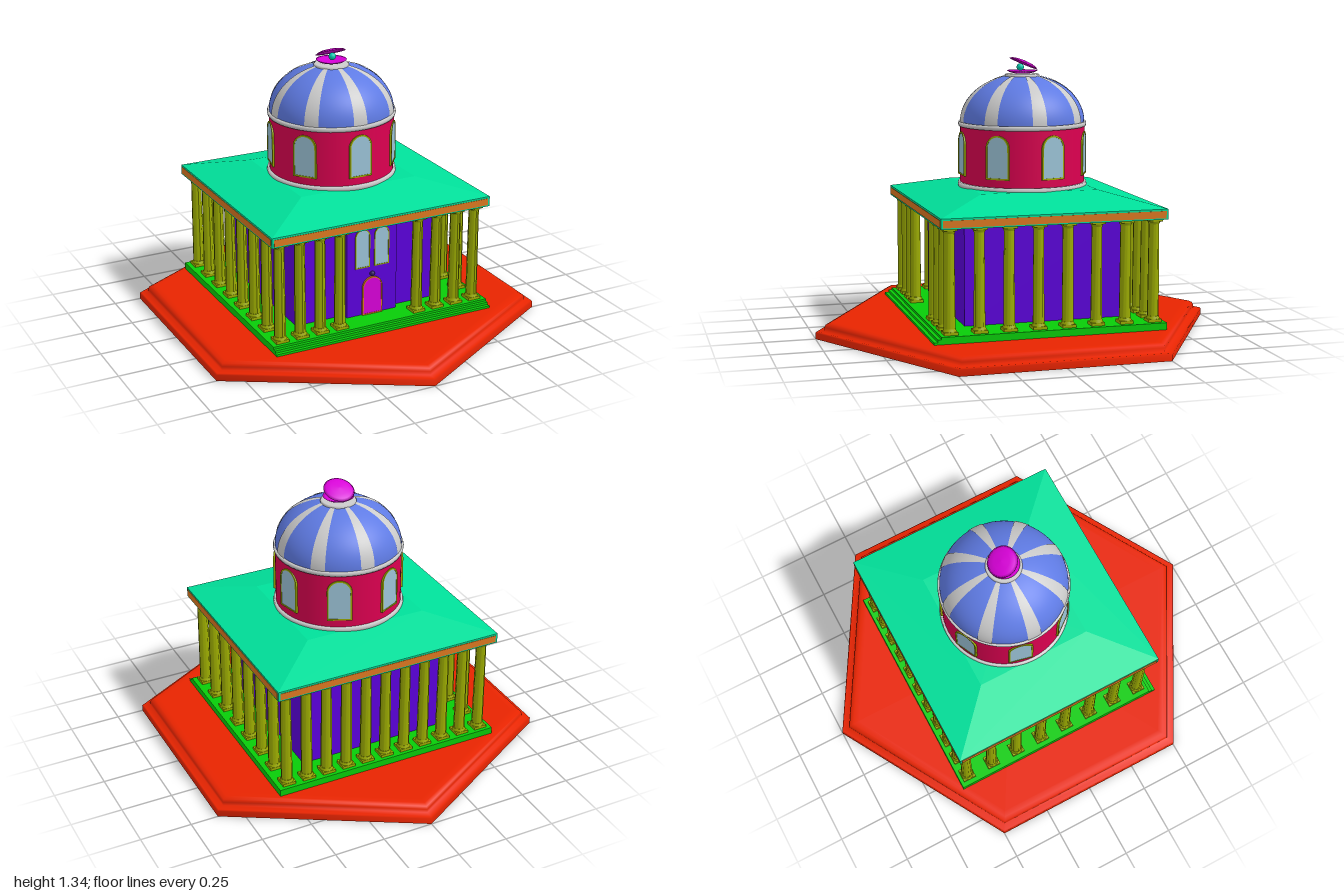
import * as THREE from 'three';

const CZ = -0.0375; // z of the building's centre
const HX = 0.58, HZ = 0.5475; // half sizes of floor and roof

const mat = (color, opts = {}) => new THREE.MeshStandardMaterial({ color, ...opts });
const thin = { side: THREE.DoubleSide };
const M = {
  red: mat(0xe82400, thin), green: mat(0x08cc08), teal: mat(0x00e09a, { flatShading: true }), orange: mat(0xdc7820),
  olive: mat(0x9cac00), purple: mat(0x5c00dc), crimson: mat(0xdc0050), blue: mat(0x5f7be4),
  grey: mat(0xcccccc, thin), glass: mat(0x9cc4d8), magenta: mat(0xd800d8, thin), pearl: mat(0x00ccb0),
  dark: mat(0x301860),
};

function add(parent, name, geo, material, x = 0, y = 0, z = 0) {
  const m = new THREE.Mesh(geo, material);
  m.name = name;
  m.position.set(x, y, z);
  parent.add(m);
  return m;
}

// Box given by its limits
function slab(parent, name, material, x0, x1, y0, y1, z0, z1) {
  return add(parent, name, new THREE.BoxGeometry(x1 - x0, y1 - y0, z1 - z0), material,
    (x0 + x1) / 2, (y0 + y1) / 2, (z0 + z1) / 2);
}

const lathe = (pts, seg = 64, start = 0, len = Math.PI * 2) =>
  new THREE.LatheGeometry(pts.map(p => new THREE.Vector2(p[0], p[1])), seg, start, len);

// Round-topped outline standing on y = 0
function arch(w, h, C = THREE.Shape, inset = 0) {
  const r = w / 2 - inset, s = new C();
  s.moveTo(-r, inset);
  s.lineTo(r, inset);
  s.lineTo(r, h - w / 2);
  s.absarc(0, h - w / 2, r, 0, Math.PI, false);
  s.lineTo(-r, inset);
  return s;
}

// Arched frame with a panel in it, back at z = 0
function archedOpening(name, w, h, frameMat, panelMat, f = 0.008, depth = 0.016) {
  const g = new THREE.Group();
  g.name = name;
  const ring = arch(w, h);
  ring.holes.push(arch(w, h, THREE.Path, f));
  const opt = d => ({ depth: d, bevelEnabled: false, curveSegments: 16 });
  add(g, 'frame', new THREE.ExtrudeGeometry(ring, opt(depth)), frameMat);
  add(g, 'panel', new THREE.ExtrudeGeometry(arch(w, h, THREE.Shape, f), opt(depth - 0.002)), panelMat);
  return g;
}

// Fluted shaft: every other ring vertex is drawn inward
function flutedShaft() {
  const geo = new THREE.CylinderGeometry(0.025, 0.028, 0.46, 24, 1, true);
  const p = geo.attributes.position;
  for (let i = 0; i < p.count; i++) {
    if (i % 25 % 2) { p.setX(i, p.getX(i) * 0.9); p.setZ(i, p.getZ(i) * 0.9); }
  }
  geo.computeVertexNormals();
  return geo;
}

export function createModel() {
  const model = new THREE.Group();
  model.name = 'domedTemple';

  // Hollow hexagonal plinth with a rounded upper step
  add(model, 'plinth', lathe([[1, 0], [1, 0.03], [0.993, 0.037], [0.957, 0.037], [0.957, 0.055],
    [0.95, 0.068], [0.93, 0.076], [0.9, 0.076], [0, 0.076]], 6), M.red);

  // Floor with front steps
  [[0.062, 0.087, 0.545], [0.087, 0.099, 0.527], [0.099, 0.11, 0.51]].forEach(([y0, y1, z1]) =>
    slab(model, 'floorStep', M.green, -HX, HX, y0, y1, CZ - HZ, z1));

  // Inner hall and its projecting entrance
  slab(model, 'hallWalls', M.purple, -0.39, 0.39, 0.11, 0.607, -0.435, 0.355);
  slab(model, 'entranceWall', M.purple, -0.135, 0.135, 0.11, 0.607, 0.3, 0.39);
  const door = archedOpening('door', 0.108, 0.195, M.orange, M.magenta, 0.006, 0.012);
  door.position.set(0, 0.11, 0.388);
  model.add(door);
  for (const s of [-1, 1]) {
    const w = archedOpening('hallWindow', 0.08, 0.2, M.olive, M.glass, 0.005, 0.008);
    w.position.set(s * 0.052, 0.357, 0.386);
    model.add(w);
  }
  add(model, 'doorLamp', new THREE.SphereGeometry(0.013, 16, 12), M.dark, 0, 0.32, 0.394);

  // Colonnade: 11 places along front and back, 8 along the sides, gap at the entrance
  const shaft = flutedShaft();
  const block = new THREE.BoxGeometry(0.066, 0.014, 0.066);
  const collar = new THREE.CylinderGeometry(0.032, 0.026, 0.014, 24);
  const foot = new THREE.CylinderGeometry(0.028, 0.033, 0.014, 24);
  const column = (x, z) => {
    const g = new THREE.Group();
    g.name = 'column';
    add(g, 'base', block, M.olive, 0, 0.117);
    add(g, 'foot', foot, M.olive, 0, 0.13);
    add(g, 'shaft', shaft, M.olive, 0, 0.355);
    add(g, 'collar', collar, M.olive, 0, 0.587);
    add(g, 'capital', block, M.olive, 0, 0.6);
    g.position.set(x, 0, z);
    model.add(g);
  };
  const cx = 0.523, cz = 0.497;
  for (let i = 0; i < 11; i++) {
    const x = -cx + (2 * cx * i) / 10;
    column(x, CZ - cz);
    if (i < 4 || i > 6) column(x, CZ + cz);
  }
  for (let i = 1; i < 7; i++) {
    for (const s of [-1, 1]) column(s * cx, CZ - cz + (2 * cz * i) / 7);
  }

  // Roof slab with an inlaid band, and a low hipped roof cut flat under the drum
  slab(model, 'roofSlab', M.teal, -HX, HX, 0.605, 0.655, CZ - HZ, CZ + HZ);
  for (const s of [-1, 1]) {
    add(model, 'corniceBand', new THREE.BoxGeometry(2 * HX - 0.02, 0.034, 0.004), M.orange, 0, 0.629, CZ + s * HZ);
    add(model, 'corniceBand', new THREE.BoxGeometry(0.004, 0.034, 2 * HZ - 0.02), M.orange, s * HX, 0.629, CZ);
  }
  const hip = new THREE.CylinderGeometry(0.53 * Math.SQRT2, Math.SQRT2, 0.065, 4);
  hip.rotateY(Math.PI / 4);
  hip.scale(HX, 1, HZ);
  add(model, 'hippedRoof', hip, M.teal, 0, 0.6875, CZ);

  // Everything round shares the building's axis
  const tower = new THREE.Group();
  tower.name = 'rotunda';
  tower.position.z = CZ;
  model.add(tower);
  add(tower, 'drumWall', new THREE.CylinderGeometry(0.306, 0.306, 0.33, 64, 1, true), M.crimson, 0, 0.855);
  const moulding = (name, r, y0, y1) => add(tower, name,
    lathe([[r - 0.03, y0], [r - 0.003, y0], [r, (y0 + y1) / 2], [r - 0.003, y1], [r - 0.03, y1]]), M.grey);
  moulding('drumBaseRing', 0.318, 0.71, 0.737);
  moulding('domeBaseRing', 0.315, 1.01, 1.032);

  // Seven arched windows round the drum
  for (let i = 0; i < 7; i++) {
    const a = (i * Math.PI * 2) / 7;
    const w = archedOpening('drumWindow', 0.12, 0.212, M.olive, M.glass);
    w.position.set(Math.sin(a) * 0.294, 0.774, Math.cos(a) * 0.294);
    w.rotation.y = a;
    tower.add(w);
  }

  // Dome with eight tapering ribs
  const domeProfile = (r, h) => Array.from({ length: 25 }, (_, i) => {
    const t = (i / 24) * 1.32;
    return [r * Math.cos(t), 1.03 + h * Math.sin(t)];
  });
  add(tower, 'dome', lathe(domeProfile(0.305, 0.23)), M.blue);
  const ribWidth = 0.23;
  for (let i = 0; i < 8; i++) {
    const a = (i * Math.PI * 2) / 8 - ribWidth / 2;
    add(tower, 'domeRib', lathe(domeProfile(0.308, 0.233), 6, a, ribWidth), M.grey);
  }
  add(tower, 'domeCap', lathe([[0.086, 1.24], [0.086, 1.256], [0.08, 1.262], [0, 1.262]]), M.grey);

  // Open shell with a pearl
  const shell = lathe([[0, 0.017], [0.04, 0.014], [0.063, 0.008], [0.075, 0], [0.06, 0.003], [0.04, 0.008], [0, 0.011]], 32);
  const lower = add(tower, 'lowerShell', shell, M.magenta, 0, 1.279, 0);
  lower.rotation.x = Math.PI;
  const hinge = new THREE.Group();
  hinge.name = 'upperShellHinge';
  hinge.position.set(0, 1.281, -0.075);
  hinge.rotation.x = -0.41;
  tower.add(hinge);
  add(hinge, 'upperShell', shell, M.magenta, 0, 0, 0.075);
  add(tower, 'pearl', new THREE.SphereGeometry(0.018, 20, 14), M.pearl, 0, 1.295, 0.01);

  return model;
}
